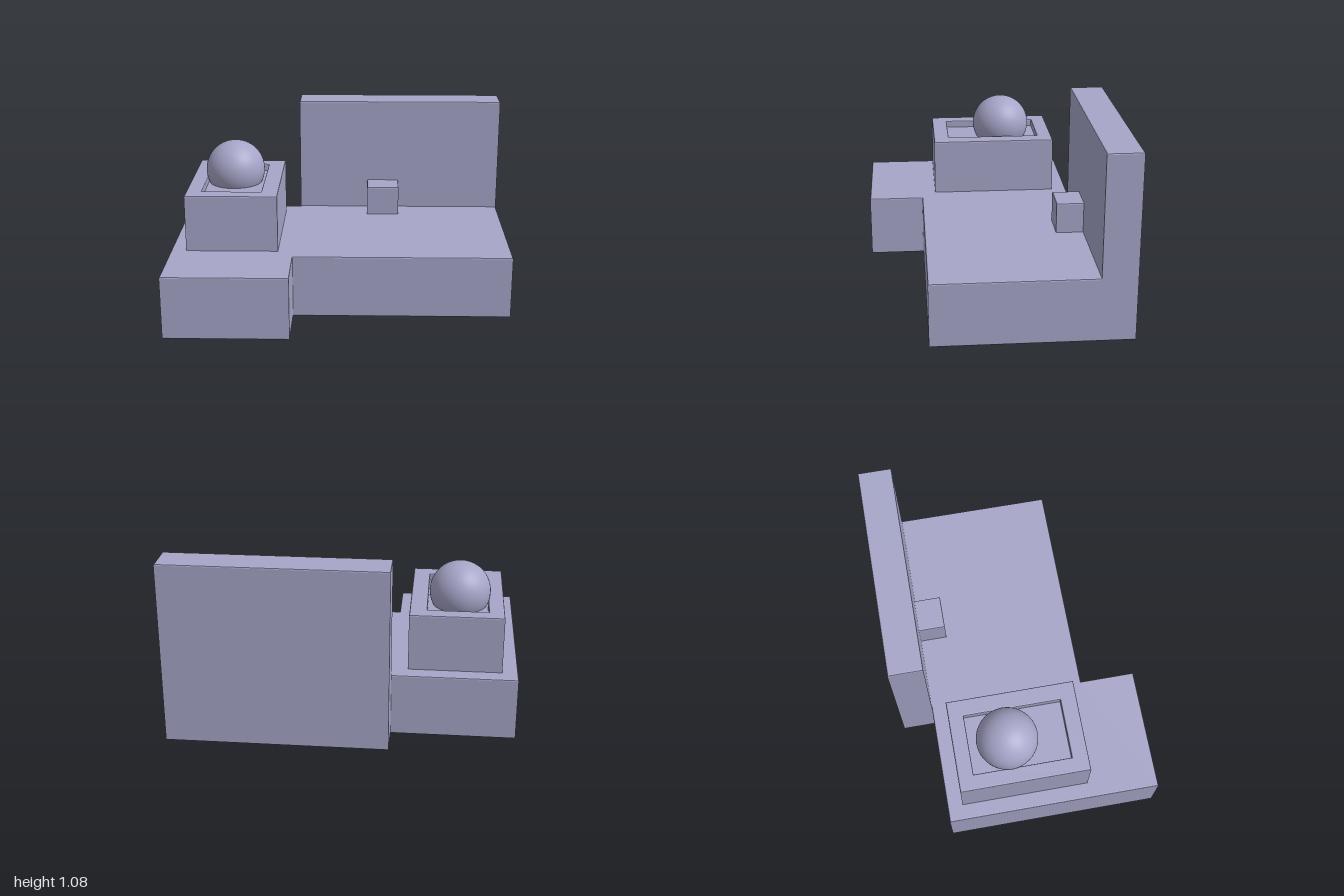
import * as THREE from 'three';

const BEVEL = 0.008;

// Plan corners are [x, z]; the solid rises from y0 to y1 with softened edges.
function slab(plan, y0, y1, hole) {
  const toPoints = (pts) => pts.map(([x, z]) => new THREE.Vector2(x, -z));
  const shape = new THREE.Shape(toPoints(plan));
  if (hole) shape.holes.push(new THREE.Path(toPoints(hole)));
  const geometry = new THREE.ExtrudeGeometry(shape, {
    depth: y1 - y0 - 2 * BEVEL,
    bevelEnabled: true,
    bevelThickness: BEVEL,
    bevelSize: BEVEL,
    bevelOffset: -BEVEL,
    bevelSegments: 2,
  });
  geometry.rotateX(-Math.PI / 2);
  geometry.translate(0, y0 + BEVEL, 0);
  return geometry;
}

const rect = (x0, x1, z0, z1) => [[x0, z1], [x1, z1], [x1, z0], [x0, z0]];

export function createModel() {
  const group = new THREE.Group();
  const lavender = new THREE.MeshStandardMaterial({ color: 0xa6a5c8 });
  lavender.name = 'lavender';

  const add = (name, geometry) => {
    const mesh = new THREE.Mesh(geometry, lavender);
    mesh.name = name;
    group.add(mesh);
    return mesh;
  };

  // Stepped base, including the footprint of the back wall
  add('base', slab([
    [-1, 0.73], [-0.28, 0.73], [-0.28, 0.4], [1, 0.4],
    [1, -0.73], [-0.28, -0.73], [-0.28, -0.53], [-1, -0.53],
  ], 0, 0.375));

  // Tall wall, sunk into the base
  add('backWall', slab(rect(-0.28, 1, -0.73, -0.53), 0.2, 1.08));

  // Small block against the wall
  add('smallBlock', slab(rect(0.155, 0.355, -0.6, -0.37), 0.3, 0.557));

  // Pedestal with a shallow tray in its top
  add('pedestal', slab(rect(-0.91, -0.37, -0.44, 0.315), 0.3, 0.713,
    rect(-0.82, -0.47, -0.35, 0.22)));
  const floor = new THREE.BoxGeometry(0.37, 0.3, 0.59);
  add('trayFloor', floor).position.set(-0.645, 0.52, -0.065);

  // Ball resting in the tray
  add('ball', new THREE.SphereGeometry(0.178, 48, 32)).position.set(-0.655, 0.75, -0.127);

  return group;
}
